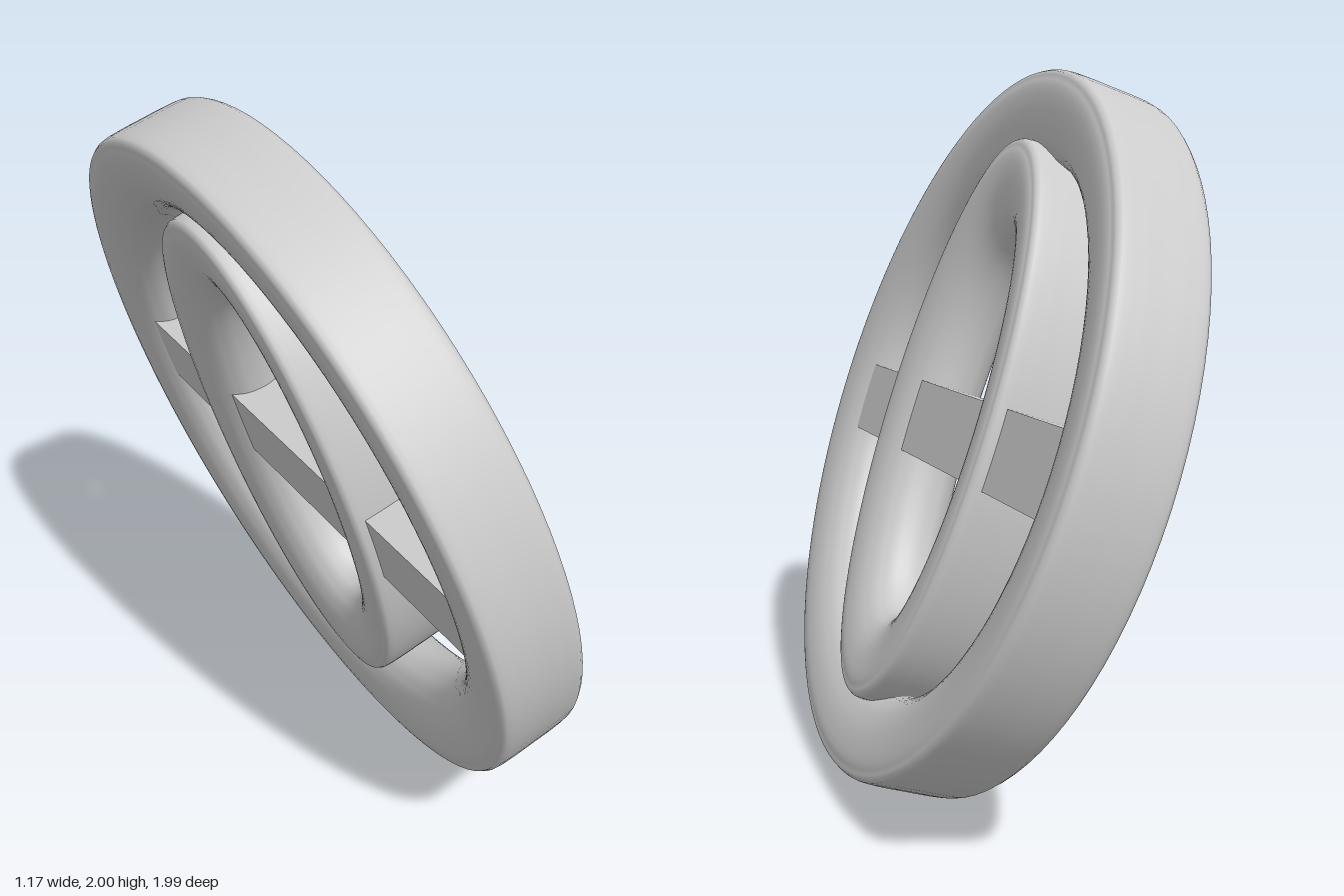
import * as THREE from 'three';
import { ParametricGeometry } from 'three/addons/geometries/ParametricGeometry.js';

// Band cross-section: x runs from inner edge (0) to outer wall (1), y is the depth.
const upper = [[1, 0.06], [0.985, 0.115], [0.86, 0.131], [0.62, 0.13], [0.36, 0.113], [0.16, 0.084], [0.04, 0.045]];
const section = new THREE.CatmullRomCurve3([
  [1, 0], ...upper, [0, 0], ...upper.map(([t, h]) => [t, -h]).reverse(),
].map(([t, h]) => new THREE.Vector3(t, h, 0)), true);

// Closed band between an inner and an outer ellipse.
function band(innerX, innerY, outerX, outerY) {
  const p = new THREE.Vector3();
  return new ParametricGeometry((u, v, target) => {
    section.getPoint(v, p);
    const a = u * Math.PI * 2;
    target.set(
      Math.cos(a) * THREE.MathUtils.lerp(innerX, outerX, p.x),
      Math.sin(a) * THREE.MathUtils.lerp(innerY, outerY, p.x),
      p.y);
  }, 96, 48);
}

export function createModel() {
  const model = new THREE.Group();
  const material = new THREE.MeshStandardMaterial({ color: 0xcccccc });
  const disc = new THREE.Group();
  disc.name = 'tiltedDisc';

  const add = (name, geometry) => {
    const mesh = new THREE.Mesh(geometry, material);
    mesh.name = name;
    disc.add(mesh);
    return mesh;
  };
  add('outerRing', band(0.77, 0.77, 1.02, 1.02));
  add('innerOval', band(0.24, 0.555, 0.455, 0.825));
  const bar = add('crossBar', new THREE.BoxGeometry(1.72, 0.22, 0.19));
  bar.position.y = -0.022;
  bar.rotation.z = 0.012;

  // Tilt the disc: its axis leans up and forward, the bar runs front to back.
  const axis = new THREE.Vector3(0.8825, 0.325, 0.34).normalize();
  const along = new THREE.Vector3(0.37, 0.04, -1).normalize();
  const up = new THREE.Vector3().crossVectors(axis, along).normalize();
  along.crossVectors(up, axis);
  disc.quaternion.setFromRotationMatrix(new THREE.Matrix4().makeBasis(along, up, axis));
  disc.position.y = 1;
  model.add(disc);
  return model;
}
